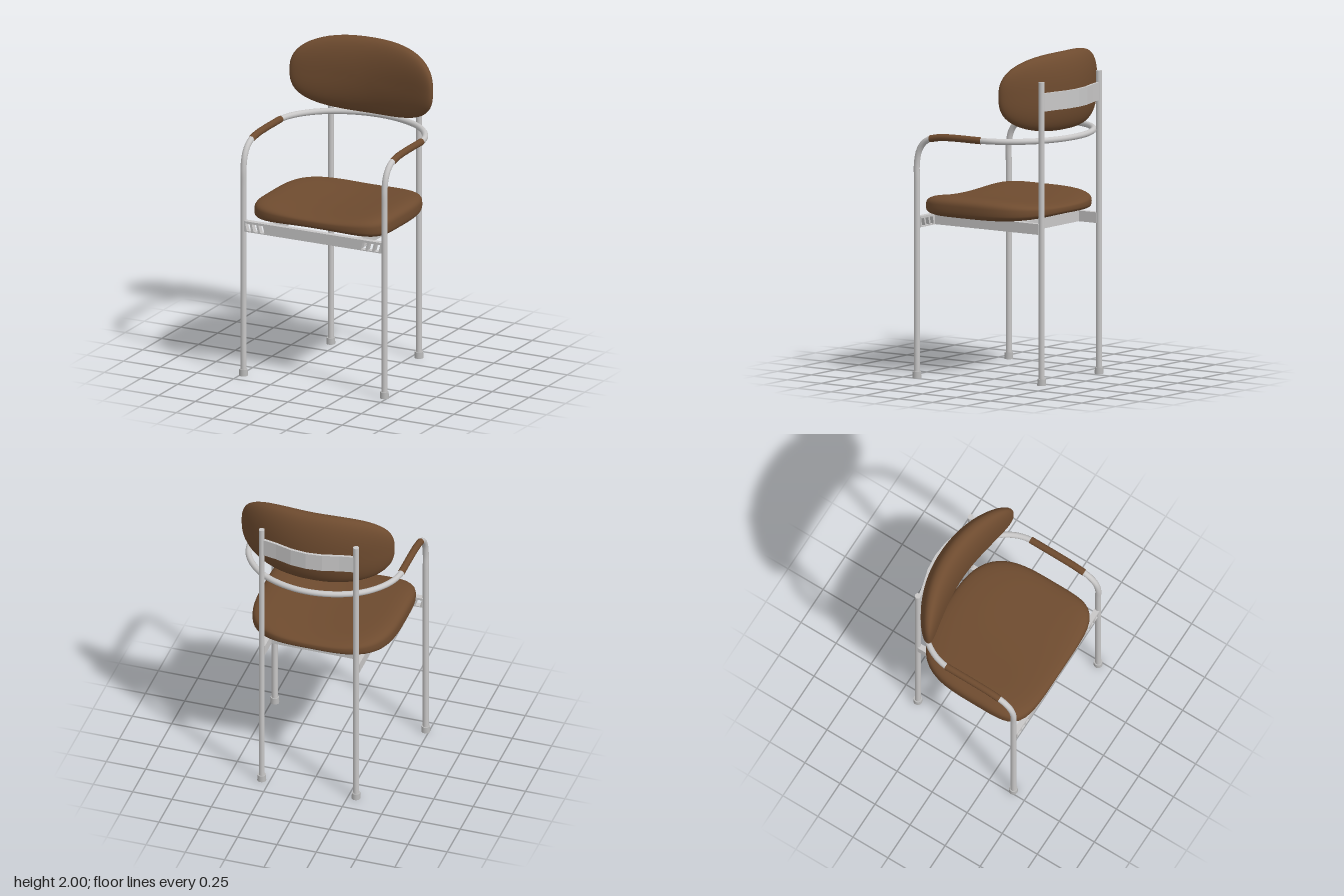
import * as THREE from 'three';
import { mergeVertices } from 'three/addons/utils/BufferGeometryUtils.js';

const V = (x, y, z) => new THREE.Vector3(x, y, z);
const spow = (v, p) => Math.sign(v) * Math.abs(v) ** p;

export function createModel() {
  const group = new THREE.Group();
  const material = (name, color) => {
    const m = new THREE.MeshStandardMaterial({ color });
    m.name = name;
    return m;
  };
  const brown = material('brown upholstery', 0x6e4b2f);
  const metal = material('light grey metal', 0xc8c7c7);
  const footGrey = material('grey foot', 0xb9b9b9);

  const add = (name, geometry, mat, x = 0, y = 0, z = 0) => {
    const mesh = new THREE.Mesh(geometry, mat);
    mesh.name = name;
    mesh.position.set(x, y, z);
    group.add(mesh);
    return mesh;
  };

  // Rounded cushion: each point of a unit sphere is moved by a rule
  const cushion = (name, rule) => {
    let g = new THREE.SphereGeometry(1, 80, 40);
    g.deleteAttribute('uv');
    g.deleteAttribute('normal');
    const p = g.attributes.position;
    for (let i = 0; i < p.count; i++) {
      const a = Math.atan2(p.getZ(i), p.getX(i));
      const r = Math.hypot(p.getX(i), p.getZ(i));
      p.setXYZ(i, ...rule(Math.cos(a), Math.sin(a), r, p.getY(i)));
    }
    g = mergeVertices(g, 1e-5);
    g.computeVertexNormals();
    return add(name, g, brown);
  };

  // Seat: squarer at the front, arched at the back, dished across its width
  cushion('seat', (c, s, r, h) => {
    const n = s > 0 ? 5 : 3.2;
    const k = (Math.abs(c) ** n + Math.abs(s) ** n) ** (-1 / n) * r ** 0.6;
    const x = 0.456 * c * k;
    const z = 0.1 + (s > 0 ? 0.347 : 0.47) * s * k;
    const u = (x / 0.38) ** 2;
    const lift = h > 0 ? 0.045 * (1 + 0.9 * u) : 0.052 * (1 + 0.4 * u);
    return [x, 1.042 + lift * spow(h, 0.6), z];
  });

  // Backrest: wide pill wrapped forward at both ends
  cushion('backrest', (c, s, r, h) => {
    const n = 2.7;
    const k = (Math.abs(c) ** n + Math.abs(s) ** n) ** (-1 / n) * r ** 0.9;
    const x = 0.485 * c * k;
    const z = -0.335 + 0.55 * x * x + 0.087 * spow(h, 0.9);
    return [x, 1.763 - 0.238 * s * k, z];
  });

  // Front legs, arms and back hoop: one bent tube
  const half = [
    V(0.48, 0.02, 0.41), V(0.48, 0.7, 0.41), V(0.48, 1.2, 0.41), V(0.48, 1.31, 0.41),
    V(0.48, 1.39, 0.393), V(0.48, 1.44, 0.358), V(0.48, 1.468, 0.31), V(0.48, 1.481, 0.24),
    V(0.48, 1.486, 0.15), V(0.48, 1.487, 0), V(0.48, 1.487, -0.07), V(0.458, 1.487, -0.16),
    V(0.4, 1.487, -0.255), V(0.3, 1.487, -0.345), V(0.15, 1.487, -0.408),
  ];
  const mirrored = half.map((p) => V(-p.x, p.y, p.z)).reverse();
  const path = new THREE.CatmullRomCurve3([...half, V(0, 1.487, -0.428), ...mirrored]);
  add('armTube', new THREE.TubeGeometry(path, 260, 0.0185, 16), metal);

  for (const side of [1, -1]) {
    // Armrest sleeve
    const grip = new THREE.CatmullRomCurve3(half.slice(6, 11).map((p) => V(side * p.x, p.y, p.z)));
    add('armPad', new THREE.TubeGeometry(grip, 32, 0.0215, 16), brown);

    // Rear leg and feet
    add('rearLeg', new THREE.CylinderGeometry(0.018, 0.018, 1.83, 16), metal, side * 0.3, 0.935, -0.385);
    for (const [x, z] of [[0.48, 0.41], [0.3, -0.385]]) {
      add('foot', new THREE.CylinderGeometry(0.0255, 0.0275, 0.04, 16), footGrey, side * x, 0.02, z);
    }

    // Side rail under the seat
    add('sideRail', new THREE.BoxGeometry(0.034, 0.065, 0.775), metal, side * 0.3, 0.952, 0.012);
  }
  add('rearCrossRail', new THREE.BoxGeometry(0.57, 0.065, 0.034), metal, 0, 0.952, -0.23);

  // Front rail with slanted slots near each end
  const rail = new THREE.Shape([[-0.468, 0.918], [0.468, 0.918], [0.468, 0.985], [-0.468, 0.985]]
    .map(([x, y]) => new THREE.Vector2(x, y)));
  for (const side of [1, -1]) {
    for (const x of [0.35, 0.395, 0.44]) {
      const corners = [[-0.022, 0.925], [0.008, 0.925], [0.02, 0.971], [-0.01, 0.971]];
      rail.holes.push(new THREE.Path(corners.map(([dx, y]) => new THREE.Vector2(side * (x + dx), y))));
    }
  }
  add('frontRail', new THREE.ExtrudeGeometry(rail, { depth: 0.034, bevelEnabled: false }), metal, 0, 0, 0.393);

  // Bowed strap joining the rear legs behind the backrest
  const bow = [[-0.3, 0.385], [-0.2, 0.405], [-0.1, 0.433], [0, 0.443], [0.1, 0.433], [0.2, 0.405], [0.3, 0.385]];
  const strap = new THREE.Shape([
    ...bow.map(([x, z]) => new THREE.Vector2(x, z - 0.01)),
    ...bow.map(([x, z]) => new THREE.Vector2(x, z + 0.007)).reverse(),
  ]);
  const strapGeometry = new THREE.ExtrudeGeometry(strap, { depth: 0.11, bevelEnabled: false });
  strapGeometry.rotateX(-Math.PI / 2);
  add('backStrap', strapGeometry, metal, 0, 1.67, 0);

  return group;
}
